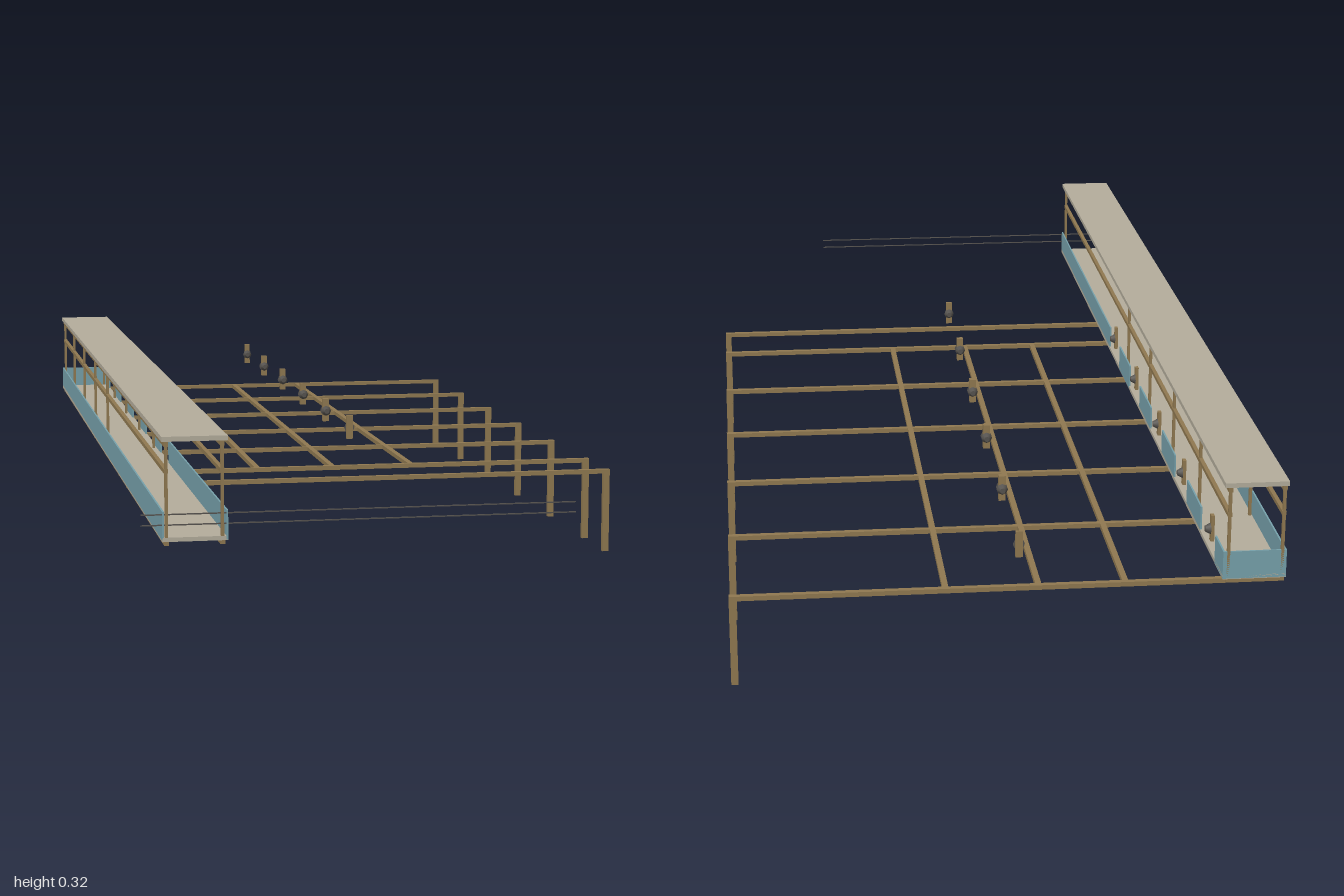
import * as THREE from 'three';

const mat = (name, color, side = THREE.FrontSide) => {
  const m = new THREE.MeshStandardMaterial({ color, side });
  m.name = name;
  return m;
};

export function createModel() {
  const root = new THREE.Group();
  root.name = 'coveredWalkway';
  const wood = mat('wood', 0x8f7850);
  const slab = mat('stoneGrey', 0xb3ac9b);
  const teal = mat('tealPanel', 0x76a0aa);
  const dark = mat('darkWire', 0x55524e);

  // Box given by its extents on each axis
  function box(name, material, [x0, x1], [y0, y1], [z0, z1], parent = root) {
    const mesh = new THREE.Mesh(new THREE.BoxGeometry(x1 - x0, y1 - y0, z1 - z0), material);
    mesh.position.set((x0 + x1) / 2, (y0 + y1) / 2, (z0 + z1) / 2);
    mesh.name = name;
    parent.add(mesh);
    return mesh;
  }
  const around = (c, w) => [c - w / 2, c + w / 2];

  // Walkway floor and roof
  const L = -0.441, R = -0.335, ends = [-1, 1];
  box('floor', slab, [L, R], [0.156, 0.163], ends);
  box('roof', slab, [L, R], [0.317, 0.325], ends);

  // Edge beams, handrails and posts on both sides
  const postZ = [0.997, 0.04, -0.22, -0.48, -0.74, -0.997];
  for (const x of [-0.434, -0.344]) {
    box('floorEdgeBeam', wood, around(x, 0.008), [0.15, 0.156], ends);
    box('roofEdgeBeam', wood, around(x, 0.007), [0.309, 0.317], ends);
    box('rail', wood, around(x, 0.007), [0.266, 0.273], ends);
    for (const z of postZ) box('post', wood, around(x, 0.005), [0.163, 0.317], around(z, 0.006));
  }

  // Low parapet: solid on the far side and back end, with openings to the yard
  const panelY = [0.157, 0.205];
  box('outerParapet', teal, [L, L + 0.003], panelY, ends);
  box('endParapet', teal, [L, R], panelY, [-1, -0.997]);
  const segments = [[0.23, 1], [-0.03, 0.1], [-0.285, -0.155], [-0.545, -0.41], [-0.8, -0.67], [-1, -0.93]];
  for (const s of segments) box('innerParapet', teal, [R - 0.003, R], panelY, s);

  // Cross beams with a leg at the far end
  for (const z of [0.42, 0.285, 0.04, -0.217, -0.476, -0.735, -0.993]) {
    box('crossBeam', wood, [-0.438, 0.475], [0.149, 0.157], around(z, 0.01));
    box('leg', wood, [0.463, 0.475], [0, 0.15], around(z, 0.01));
  }
  // Long beams tying the frame together
  for (const x of [-0.175, -0.031, 0.122])
    box('longBeam', wood, around(x, 0.01), [0.149, 0.157], [-0.997, 0.29]);

  // Small fixture: a back plate with a tapered head facing local +z
  function fixture(x, z, turn) {
    const g = new THREE.Group();
    g.name = 'fixture';
    box('backPlate', wood, [-0.006, 0.006], [0.208, 0.253], [0, 0.006], g);
    const head = new THREE.Mesh(new THREE.CylinderGeometry(0.005, 0.01, 0.009, 8), dark);
    head.name = 'fixtureHead';
    head.rotation.x = Math.PI / 2;
    head.position.set(0, 0.229, 0.0105);
    g.add(head);
    g.position.set(x, 0, z);
    g.rotation.y = turn;
    root.add(g);
  }
  for (const z of [0.08, -0.18, -0.44, -0.695, -0.955]) fixture(-0.327, z, Math.PI / 2);
  for (const z of [0.038, -0.222, -0.48, -0.74]) {
    fixture(0.002, z, 0);
    fixture(0.002, z, Math.PI);
  }
  fixture(0.002, 0.29, Math.PI);
  fixture(0.002, -0.998, 0);

  // Pair of thin wires across the open end
  for (const y of [0.2, 0.183])
    box('wire', dark, [-0.475, 0.24], around(y, 0.002), [0.997, 0.999]);

  return root;
}
